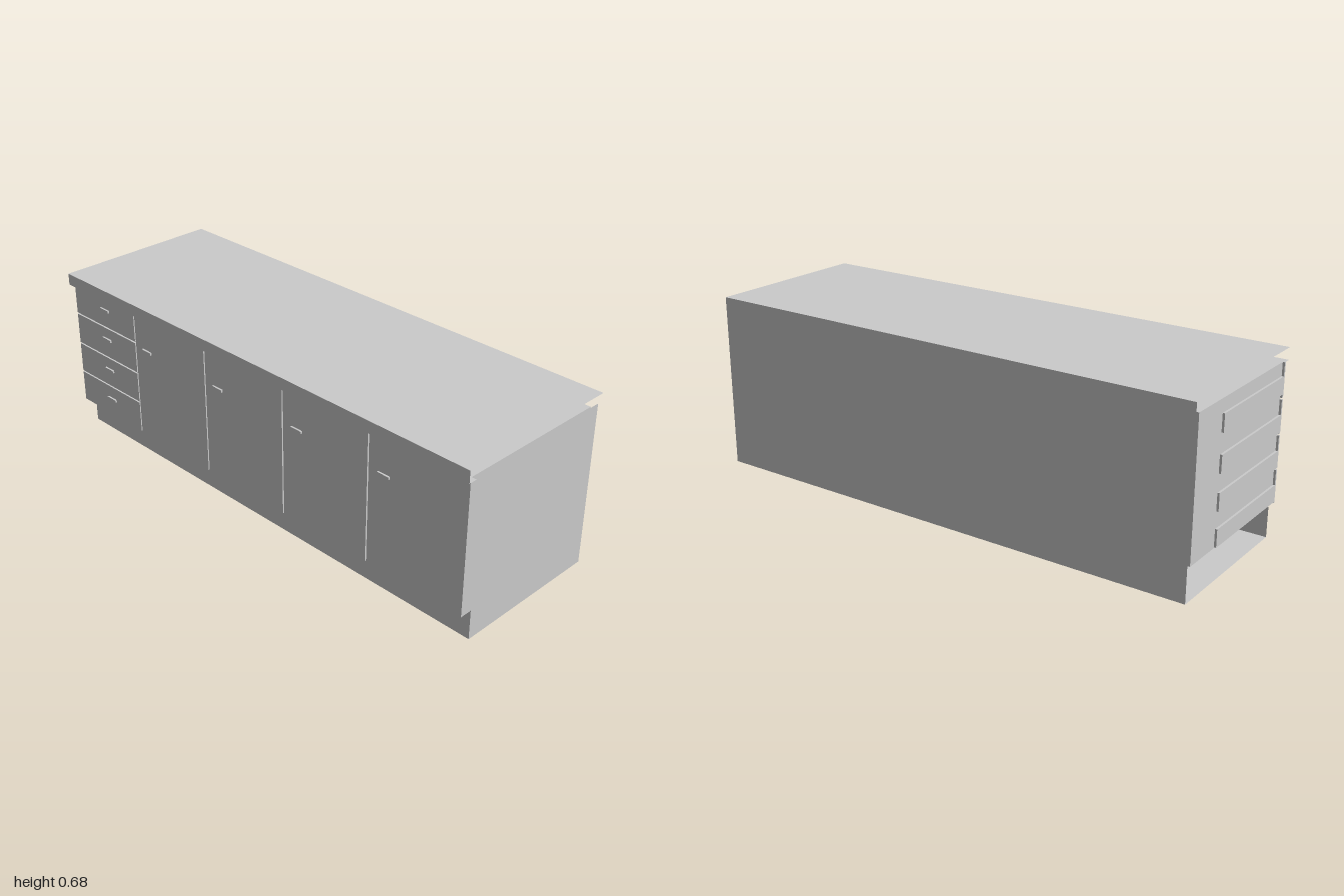
import * as THREE from 'three';

const grey = new THREE.MeshStandardMaterial({ color: 0xcccccc, flatShading: true });
const greyThin = new THREE.MeshStandardMaterial({ color: 0xcccccc, flatShading: true, side: THREE.DoubleSide });

export function createModel() {
  const model = new THREE.Group();

  function add(name, geometry, material = grey) {
    const mesh = new THREE.Mesh(geometry, material);
    mesh.name = name;
    model.add(mesh);
    return mesh;
  }

  // Box given by its minimum and maximum corners
  function box(name, x0, x1, y0, y1, z0, z1) {
    add(name, new THREE.BoxGeometry(x1 - x0, y1 - y0, z1 - z0))
      .position.set((x0 + x1) / 2, (y0 + y1) / 2, (z0 + z1) / 2);
  }

  // Thin sheet, centred, turned by rx and ry
  function sheet(name, w, h, x, y, z, rx = 0, ry = 0, material = greyThin) {
    const mesh = add(name, new THREE.PlaneGeometry(w, h), material);
    mesh.position.set(x, y, z);
    mesh.rotation.set(rx, ry, 0);
  }

  const back = -0.335, front = 0.302, doorFace = 0.31;
  const low = 0.115, high = 0.63, top = 0.675, right = 0.985;

  // Worktop: a folded sheet, open at both ends, with a front lip
  sheet('worktop', 2, 0.67, 0, top, 0, -Math.PI / 2);
  sheet('worktopFrontEdge', 2, top - high, 0, (top + high) / 2, 0.335, 0, 0, grey);
  sheet('worktopLip', 2, 0.335 - front, 0, high, (0.335 + front) / 2, Math.PI / 2);

  // Back panel, floor and recessed plinth
  sheet('backPanel', 2, top, 0, top / 2, back, 0, Math.PI, grey);
  sheet('floorPanel', 1 + right, 0.262 - back, (right - 1) / 2, 0, (0.262 + back) / 2, Math.PI / 2);
  sheet('plinth', 1 + right, low, (right - 1) / 2, low / 2, 0.262);

  // Carcass
  box('carcass', -0.992, right - 0.004, low, high, -0.3, front);

  // End panel with a toe notch, drawn in (-z, y) and turned to face +x
  const profile = new THREE.Shape([
    [-0.262, 0], [-back, 0], [-back, high], [-doorFace, high], [-doorFace, low], [-0.262, low],
  ].map(([u, v]) => new THREE.Vector2(u, v)));
  const end = add('endPanel', new THREE.ShapeGeometry(profile), greyThin);
  end.rotation.y = Math.PI / 2;
  end.position.x = right;

  function handle(x, y) {
    box('handle', x - 0.025, x + 0.025, y - 0.005, y + 0.005, front, 0.317);
  }

  // Drawers: fronts, handles and box sides showing at the open end
  const gap = 0.003;
  const drawerEdges = [low, 0.243, 0.37, 0.5, high];
  const handleHeights = [0.187, 0.318, 0.45, 0.575];
  const boxBottoms = [0.118, 0.245, 0.376, 0.515];
  for (let i = 0; i < 4; i++) {
    box('drawerFront', -1, -0.63 - gap, drawerEdges[i] + (i ? gap : 0), drawerEdges[i + 1] - (i < 3 ? gap : 0), front, doorFace);
    handle(-0.81, handleHeights[i]);
    box('drawerBox', -1, -0.98, boxBottoms[i], boxBottoms[i] + 0.065, -0.137, front);
  }

  // Doors
  const doorEdges = [-0.63, -0.227, 0.175, 0.573, right];
  for (let i = 0; i < 4; i++) {
    box('door', doorEdges[i] + gap, doorEdges[i + 1] - (i < 3 ? gap : 0), low, high, front, doorFace);
    handle(doorEdges[i] + 0.07, 0.487);
  }

  return model;
}
